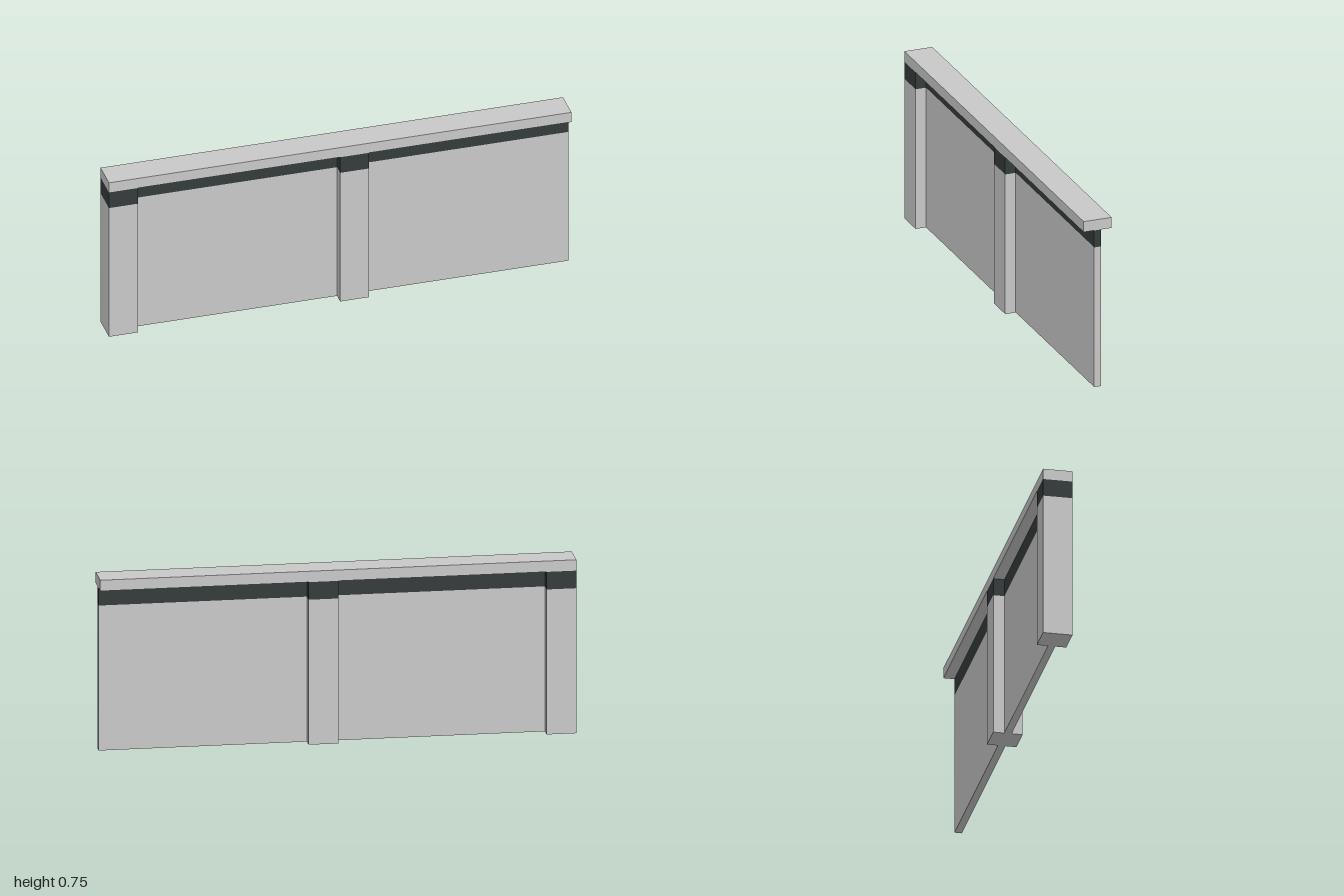
import * as THREE from 'three';

export function createModel() {
  const concrete = new THREE.MeshStandardMaterial({ color: 0xc8c8c8 });
  concrete.name = 'light concrete';
  const dark = new THREE.MeshStandardMaterial({ color: 0x353b3b });
  dark.name = 'dark band';

  const model = new THREE.Group();
  model.name = 'wall';

  const bandBottom = 0.627, bandTop = 0.703, top = 0.75;
  const postDepth = 0.125, panelDepth = 0.031;

  // Box given by its x and y ranges, centred on z = 0
  function addBox(parent, name, x0, x1, y0, y1, depth, material) {
    const mesh = new THREE.Mesh(new THREE.BoxGeometry(x1 - x0, y1 - y0, depth), material);
    mesh.position.set((x0 + x1) / 2, (y0 + y1) / 2, 0);
    mesh.name = name;
    parent.add(mesh);
  }

  // Two identical bays: a thick post followed by a thin panel, each with a dark upper band
  [-1, 0].forEach((x, i) => {
    const bay = new THREE.Group();
    bay.name = i === 0 ? 'rightBay' : 'leftBay';
    const parts = [
      ['post', x, x + 0.125, postDepth],
      ['panel', x + 0.125, x + 1, panelDepth],
    ];
    for (const [name, x0, x1, depth] of parts) {
      addBox(bay, name, x0, x1, 0, bandBottom, depth, concrete);
      addBox(bay, name + 'Band', x0, x1, bandBottom, bandTop, depth, dark);
    }
    model.add(bay);
  });

  // Coping along the whole top
  addBox(model, 'coping', -1, 1, bandTop, top, postDepth, concrete);

  return model;
}
